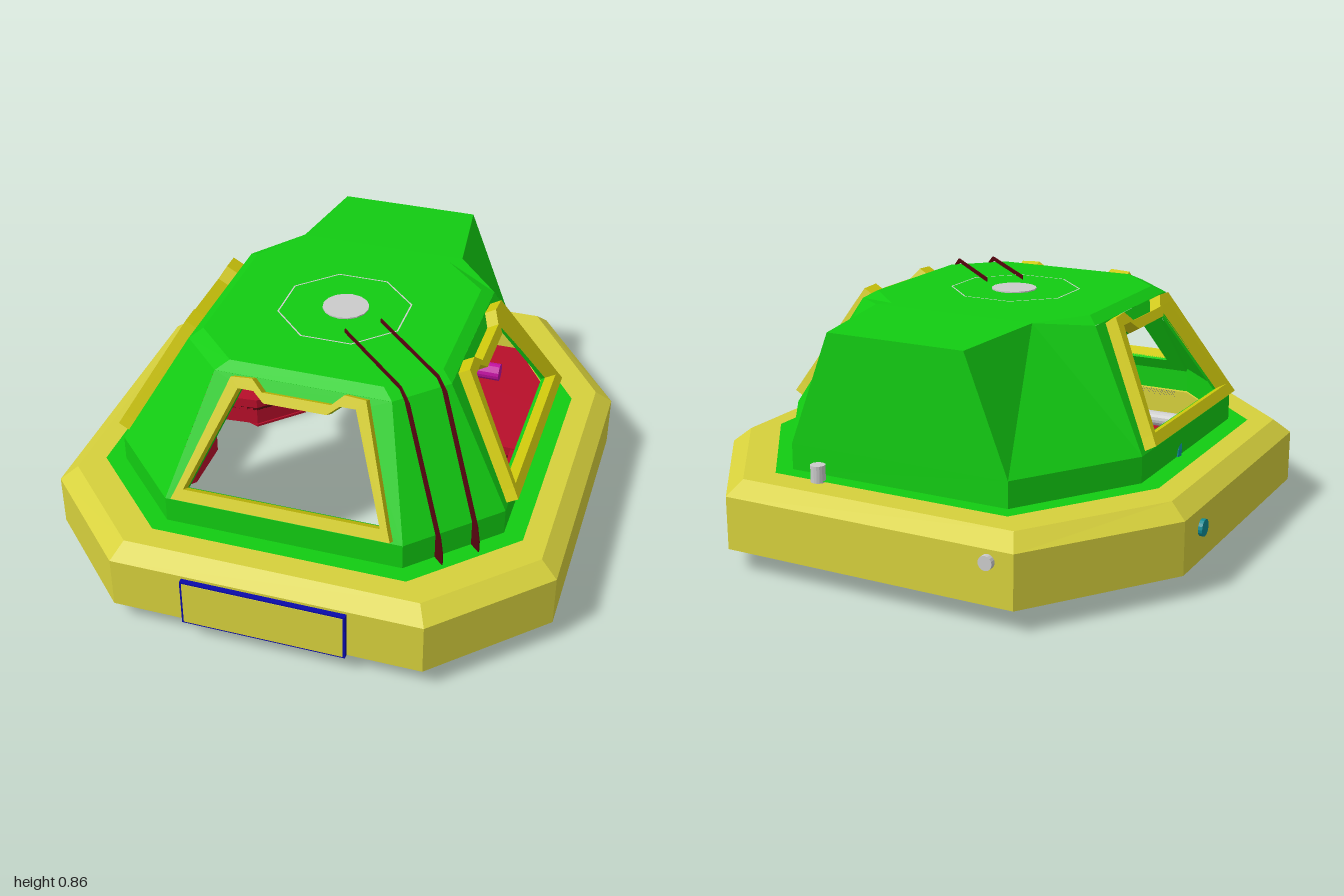
import * as THREE from 'three';

const mat = (color) => new THREE.MeshStandardMaterial({ color, flatShading: true, side: THREE.DoubleSide });
const GREEN = mat(0x12cc12), YELLOW = mat(0xd6d03c), FRAME = mat(0xcfc80c), RED = mat(0xb80f2a),
  MAROON = mat(0x55040f), BLUE = mat(0x0a0aaa), CYAN = mat(0x10c4c0), TEAL = mat(0x0f8a94),
  MAGENTA = mat(0xc010a0), GREY = mat(0xcccccc), DARK = mat(0x44464a);
const CZ = 0.08; // centre of the dome and the floor opening

function add(parent, name, geometry, material, x = 0, y = 0, z = 0) {
  const mesh = new THREE.Mesh(geometry, material);
  mesh.name = name;
  mesh.position.set(x, y, z);
  parent.add(mesh);
  return mesh;
}
const box = (p, name, m, w, h, d, x, y, z) => add(p, name, new THREE.BoxGeometry(w, h, d), m, x, y, z);
const rod = (p, name, m, r, h, x, y, z) => add(p, name, new THREE.CylinderGeometry(r, r, h, 16), m, x, y, z);

// Flat-shaded surface from convex polygons
function polygons(faces) {
  const pos = [];
  for (const f of faces)
    for (let i = 1; i < f.length - 1; i++) pos.push(...f[0], ...f[i], ...f[i + 1]);
  const g = new THREE.BufferGeometry();
  g.setAttribute('position', new THREE.Float32BufferAttribute(pos, 3));
  g.computeVertexNormals();
  return g;
}
const band = (lo, hi) => lo.map((p, i) => {
  const j = (i + 1) % lo.length;
  return [p, lo[j], hi[j], hi[i]];
});
// Eight-sided loop, counter-clockwise from above; the back may differ from the front
const loop = (y, bx, fz, ax, sf, sb, bz, cz = 0) => [
  [bx, fz], [ax, sf], [ax, sb], [bx, bz], [-bx, bz], [-ax, sb], [-ax, sf], [-bx, fz],
].map(([x, z]) => [x, y, z + cz]);
const shapeOf = (pts) => new THREE.Shape(pts.map(([x, y]) => new THREE.Vector2(x, y)));
const mirrored = (half) => [...half, ...half.slice().reverse().map(([x, y]) => [-x, y])];
const extrude = (shape, depth) => new THREE.ExtrudeGeometry(shape, { depth, bevelEnabled: false });
const slab = (shape, depth) => extrude(shape, depth).rotateX(-Math.PI / 2);

function baseRing(model) {
  const outer = loop(0.08, 0.55, 0.98, 0.91, 0.62, -0.47, -0.98);
  const shoulder = outer.map(([x, , z]) => [x, 0.27, z]);
  const rim = loop(0.32, 0.52, 0.92, 0.85, 0.59, -0.44, -0.92);
  const inner = loop(0.32, 0.42, 0.78, 0.7, 0.5, -0.34, -0.77);
  add(model, 'baseRing', polygons([...band(outer, shoulder), ...band(shoulder, rim), ...band(rim, inner)]), YELLOW);

  // Floor with an opening that has eight inward tabs
  const opening = [];
  for (let k = 0; k < 8; k++) {
    const c = Math.cos(k * Math.PI / 4), s = Math.sin(k * Math.PI / 4);
    for (const [r, t] of [[0.68, -0.24], [0.57, -0.11], [0.57, 0.11], [0.68, 0.24]])
      opening.push([r * c - t * s, r * s + t * c - CZ]);
  }
  const floor = shapeOf(outer.map(([x, , z]) => [x * 0.998, -z * 0.998]));
  floor.holes.push(shapeOf(opening));
  add(model, 'underside', slab(floor, 0.012), MAROON, 0, 0.08, 0);
  add(model, 'floor', slab(floor, 0.015), RED, 0, 0.093, 0);
  const edge = (y) => opening.map(([x, v]) => [x, y, -v]);
  add(model, 'openingCollar', polygons(band(edge(0.015), edge(0.13))), RED);

  // Flaps and strips around the opening
  for (let k = 0; k < 8; k++) {
    const flap = new THREE.Group(), diagonal = k % 2 === 1, r = diagonal ? 0.82 : 0.74;
    flap.name = 'openingFlap';
    flap.position.z = CZ;
    flap.rotation.y = k * Math.PI / 4;
    const plate = shapeOf([[-0.11, -0.57], [0.11, -0.57], [0.22, -r], [-0.22, -r]]);
    add(flap, 'flapPlate', slab(plate, 0.01), diagonal ? RED : MAROON, 0, diagonal ? 0 : 0.02, 0);
    box(flap, 'flapStrip', GREEN, 0.4, 0.014, 0.04, 0, 0.038, 0.7);
    box(flap, 'flapBlock', RED, 0.36, 0.05, 0.04, 0, 0.06, 0.66);
    model.add(flap);
  }

  // Front access panel, fittings and feet
  box(model, 'accessPanelEdge', BLUE, 0.58, 0.18, 0.018, 0, 0.17, 0.989);
  box(model, 'accessPanelFace', YELLOW, 0.565, 0.168, 0.004, 0, 0.17, 0.998);
  rod(model, 'backFitting', GREY, 0.025, 0.03, -0.46, 0.23, -0.985).rotation.x = Math.PI / 2;
  rod(model, 'sideFitting', TEAL, 0.03, 0.03, -0.91, 0.2, -0.32).rotation.z = Math.PI / 2;
  rod(model, 'ventStub', GREY, 0.026, 0.09, 0.28, 0.335, -0.82);
  for (const z of [0.87, -0.8]) rod(model, 'foot', GREY, 0.035, 0.03, -0.38, 0.07, z);
}

function dome(model) {
  const g = new THREE.Group();
  g.name = 'dome';
  g.position.z = CZ;
  model.add(g);
  const flange = loop(0.326, 0.45, 0.76, 0.77, 0.44, -0.44, -0.91);
  const foot = loop(0.326, 0.42, 0.7, 0.7, 0.42, -0.42, -0.85);
  const C = foot.map(([x, , z]) => [x, 0.42, z]);
  const T = loop(0.82, 0.31, 0.47, 0.47, 0.31, -0.31, -0.47);
  T[3][1] = T[4][1] = 0.845;
  const R = loop(0.845, 0.27, 0.43, 0.43, 0.27, -0.27, -0.43);
  const H = [0.26, 0.83, -0.85], K = [-0.26, 0.83, -0.85];
  add(g, 'domeShell', polygons([
    ...band(flange, foot), ...band(foot, C), ...band(T, R), R,
    [C[0], C[1], T[1], T[0]], [C[6], C[7], T[7], T[6]], // front corners
    [C[3], T[3], T[2], C[2]], [C[5], T[5], T[4], C[4]], // back corners
    [C[3], H, T[3]], [C[4], T[4], K], [C[3], C[4], K, H], [T[3], H, K, T[4]], // rear hump
  ]), GREEN);

  // Three sloping window walls with raised frames
  const hole = mirrored([[0.345, 0.05], [0.205, 0.42], [0.15, 0.42], [0.11, 0.385]]);
  const rim = mirrored([[0.385, 0.01], [0.37, 0.05], [0.235, 0.455], [0.16, 0.46], [0.12, 0.42]]);
  for (const yaw of [0, Math.PI / 2, -Math.PI / 2]) {
    const side = new THREE.Group(), wall = new THREE.Group();
    side.name = 'windowSide';
    side.rotation.y = yaw;
    wall.name = 'windowWall';
    wall.position.set(0, 0.42, 0.7);
    wall.rotation.x = -Math.atan2(0.23, 0.4);
    const panel = shapeOf(mirrored([[0.42, 0], [0.31, 0.461]]));
    const frame = shapeOf(rim);
    panel.holes.push(shapeOf(hole));
    frame.holes.push(shapeOf(hole));
    add(wall, 'wallPanel', extrude(panel, 0.015), GREEN, 0, 0, -0.015);
    add(wall, 'windowFrame', extrude(frame, 0.05), FRAME, 0, 0, -0.005);
    side.add(wall);
    g.add(side);
  }

  // Roof disc and hatch outline
  rod(g, 'roofDisc', GREY, 0.083, 0.006, 0, 0.847, -0.01);
  const hatch = new THREE.RingGeometry(0.234, 0.24, 8, 1, Math.PI / 8).rotateX(-Math.PI / 2);
  add(g, 'hatchOutline', hatch, GREY, 0, 0.847, 0);

  // Two thin fins over the front corner
  const path = [[0.1, 0.845], [0.375, 0.845], [0.4, 0.82], [0.56, 0.42], [0.56, 0.325]];
  const lip = [[0.593, 0.325], [0.593, 0.37], [0.582, 0.425], [0.42, 0.828], [0.38, 0.86], [0.1, 0.86]];
  const finShape = shapeOf([...path, ...lip].map(([c, y]) => [c * Math.SQRT2, y]));
  for (const o of [-0.05, 0.05])
    add(g, 'cornerFin', extrude(finShape, 0.004), MAROON, o, 0, -o).rotation.y = -Math.PI / 4;

  // Ceiling lamp
  rod(g, 'lampBase', GREY, 0.11, 0.06, 0, 0.81, 0);
  rod(g, 'lampCore', GREY, 0.08, 0.08, 0, 0.75, 0);
  for (const [r, y] of [[0.15, 0.77], [0.135, 0.73]])
    add(g, 'lampRing', new THREE.TorusGeometry(r, 0.016, 8, 32).rotateX(Math.PI / 2), GREY, 0, y, 0);
  for (let i = 0; i < 4; i++) {
    const bar = box(g, 'lampBar', GREY, 0.3, 0.03, 0.02, 0, 0.755, 0);
    bar.rotation.y = i * Math.PI / 4;
  }
}

function interior(model) {
  // Rear console with screen and equipment rack
  box(model, 'screenHousing', MAROON, 0.33, 0.16, 0.05, -0.1, 0.67, -0.66);
  box(model, 'screen', CYAN, 0.29, 0.125, 0.01, -0.1, 0.675, -0.63);
  box(model, 'consoleBase', MAROON, 0.36, 0.44, 0.14, -0.15, 0.35, -0.64);
  box(model, 'consoleBox', MAROON, 0.09, 0.42, 0.14, 0.02, 0.34, -0.58);
  box(model, 'rack', BLUE, 0.19, 0.64, 0.12, 0.17, 0.44, -0.66);
  for (let i = 0; i < 7; i++) box(model, 'rackShelf', GREEN, 0.17, 0.008, 0.02, 0.17, 0.5 + i * 0.04, -0.6);
  rod(model, 'storageTube', MAGENTA, 0.035, 0.3, 0.3, 0.26, -0.55).rotation.z = Math.PI / 2;

  // Locker in the front corner
  const locker = new THREE.Group();
  locker.name = 'locker';
  locker.position.set(0.53, 0.2, 0.61);
  locker.rotation.y = Math.PI / 4;
  box(locker, 'lockerBody', BLUE, 0.44, 0.2, 0.12, 0, 0, 0);
  for (const x of [-0.14, 0, 0.14]) box(locker, 'lockerDoor', RED, 0.11, 0.15, 0.01, x, -0.01, -0.063);
  for (const x of [-0.07, 0.07]) box(locker, 'lockerStrap', FRAME, 0.02, 0.205, 0.13, x, 0, -0.002);
  model.add(locker);

  // Side pedestals and pipes
  for (const s of [-1, 1]) box(model, 'pedestal', RED, 0.1, 0.14, 0.3, s * 0.65, 0.18, CZ);
  const pipe = (name, m, r, pts) => add(model, name, new THREE.TubeGeometry(
    new THREE.CatmullRomCurve3(pts.map((p) => new THREE.Vector3(...p))), 24, r, 10), m);
  pipe('elbowPipe', TEAL, 0.028, [[-0.67, 0.2, -0.02], [-0.68, 0.34, 0], [-0.65, 0.38, 0.06], [-0.62, 0.3, 0.1], [-0.62, 0.2, 0.1]]);
  pipe('sidePipe', DARK, 0.025, [[0.66, 0.24, 0.07], [0.67, 0.27, 0.12], [0.67, 0.26, 0.3], [0.68, 0.12, 0.4]]);
  rod(model, 'greyTube', GREY, 0.03, 0.3, -0.3, 0.2, 0.76).rotation.z = Math.PI / 2;
}

export function createModel() {
  const model = new THREE.Group();
  model.name = 'observationDome';
  baseRing(model);
  dome(model);
  interior(model);
  return model;
}
